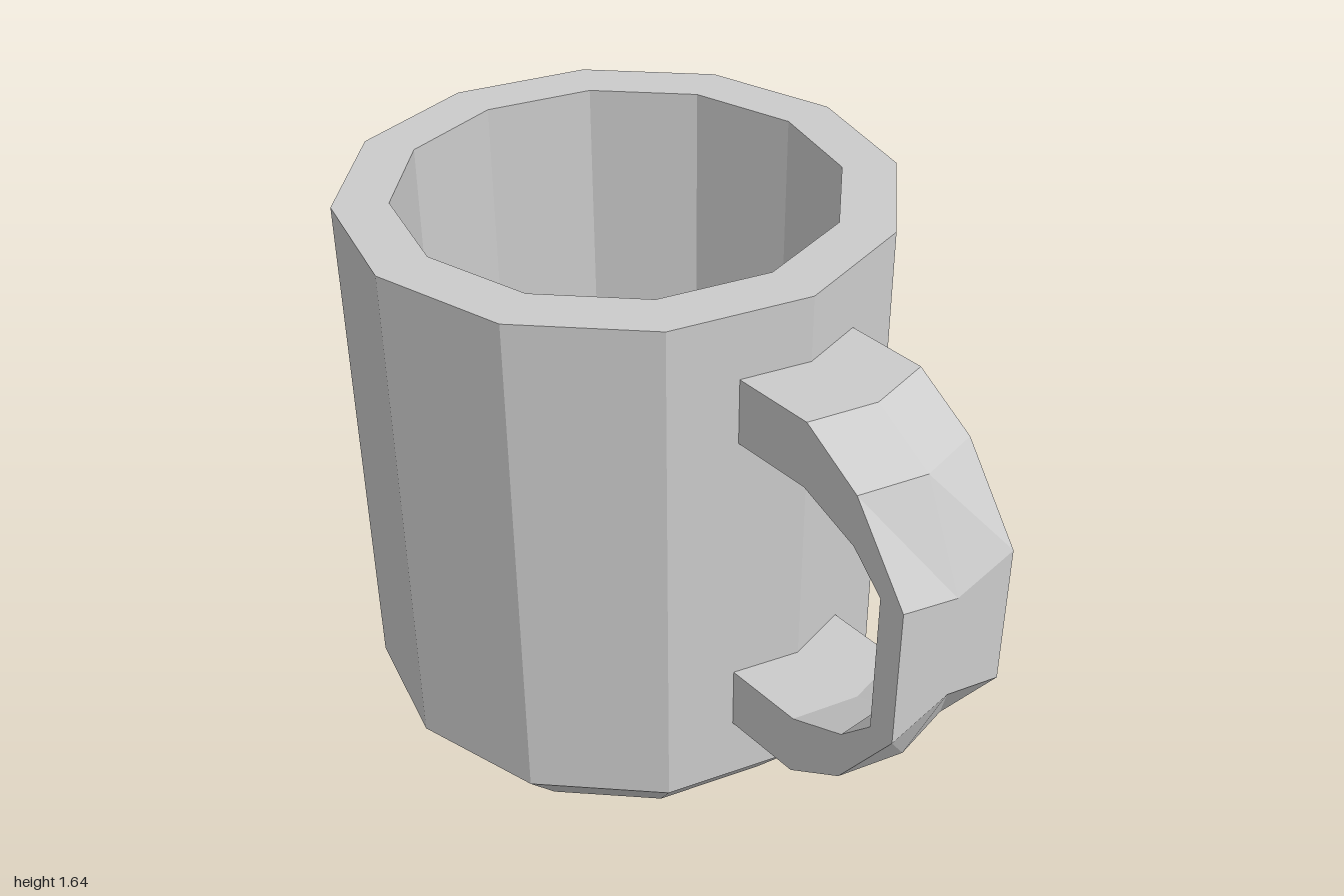
import * as THREE from 'three';

const material = new THREE.MeshStandardMaterial({ color: 0xcccccc, flatShading: true });
const MID_Y = 0.908; // height about which the handle mirrors
const HALF_WIDTH = 0.185;

// Cup: one closed twelve-sided profile, outside then inside
function makeCup() {
  const profile = [
    [0, 0], [0.59, 0], [0.737, 0.17], [0.737, 1.64], // base, chamfer, wall
    [0.59, 1.64], [0.59, 0.32], [0.42, 0.15], [0, 0.15], // rim, inner wall, floor
  ].map(([r, y]) => new THREE.Vector2(r, y));
  const cup = new THREE.Mesh(new THREE.LatheGeometry(profile, 12), material);
  cup.name = 'cup';
  cup.position.x = -0.263;
  return cup;
}

// Handle: six-point sections swept along the loop, with the centre line pushed out at the bends
function makeHandle() {
  // Upper half stations as [x, y] for outer edge, outer centre, inner edge, inner centre
  const upper = [
    [[0.425, 1.46], [0.425, 1.46], [0.425, 1.277], [0.425, 1.277]],
    [[0.657, 1.46], [0.702, 1.46], [0.657, 1.277], [0.702, 1.277]],
    [[0.83, 1.35], [0.875, 1.35], [0.83, 1.205], [0.875, 1.205]],
    [[1, 1.11], [1, 1.06], [0.925, 1.11], [0.925, 1.06]],
  ];
  const lower = upper.map((s) => s.map(([x, y]) => [x, 2 * MID_Y - y])).reverse();
  const rings = [...upper, ...lower].map(([oe, oc, ie, ic]) => [
    [...oe, HALF_WIDTH], [...oc, 0], [...oe, -HALF_WIDTH],
    [...ie, -HALF_WIDTH], [...ic, 0], [...ie, HALF_WIDTH],
  ]);

  const n = 6;
  const index = [];
  for (let i = 0; i < rings.length - 1; i++) {
    for (let j = 0; j < n; j++) {
      const k = (j + 1) % n;
      const a = i * n + j, b = a + n, c = (i + 1) * n + k, d = i * n + k;
      index.push(a, b, c, a, c, d);
    }
  }
  // End caps against the cup wall
  const last = (rings.length - 1) * n;
  for (let j = 1; j < n - 1; j++) {
    index.push(0, j, j + 1, last, last + j + 1, last + j);
  }

  const indexed = new THREE.BufferGeometry();
  indexed.setAttribute('position', new THREE.Float32BufferAttribute(rings.flat(2), 3));
  indexed.setIndex(index);
  const geometry = indexed.toNonIndexed();
  geometry.computeVertexNormals();
  const handle = new THREE.Mesh(geometry, material);
  handle.name = 'handle';
  return handle;
}

export function createModel() {
  const mug = new THREE.Group();
  mug.name = 'mug';
  mug.add(makeCup(), makeHandle());
  return mug;
}
